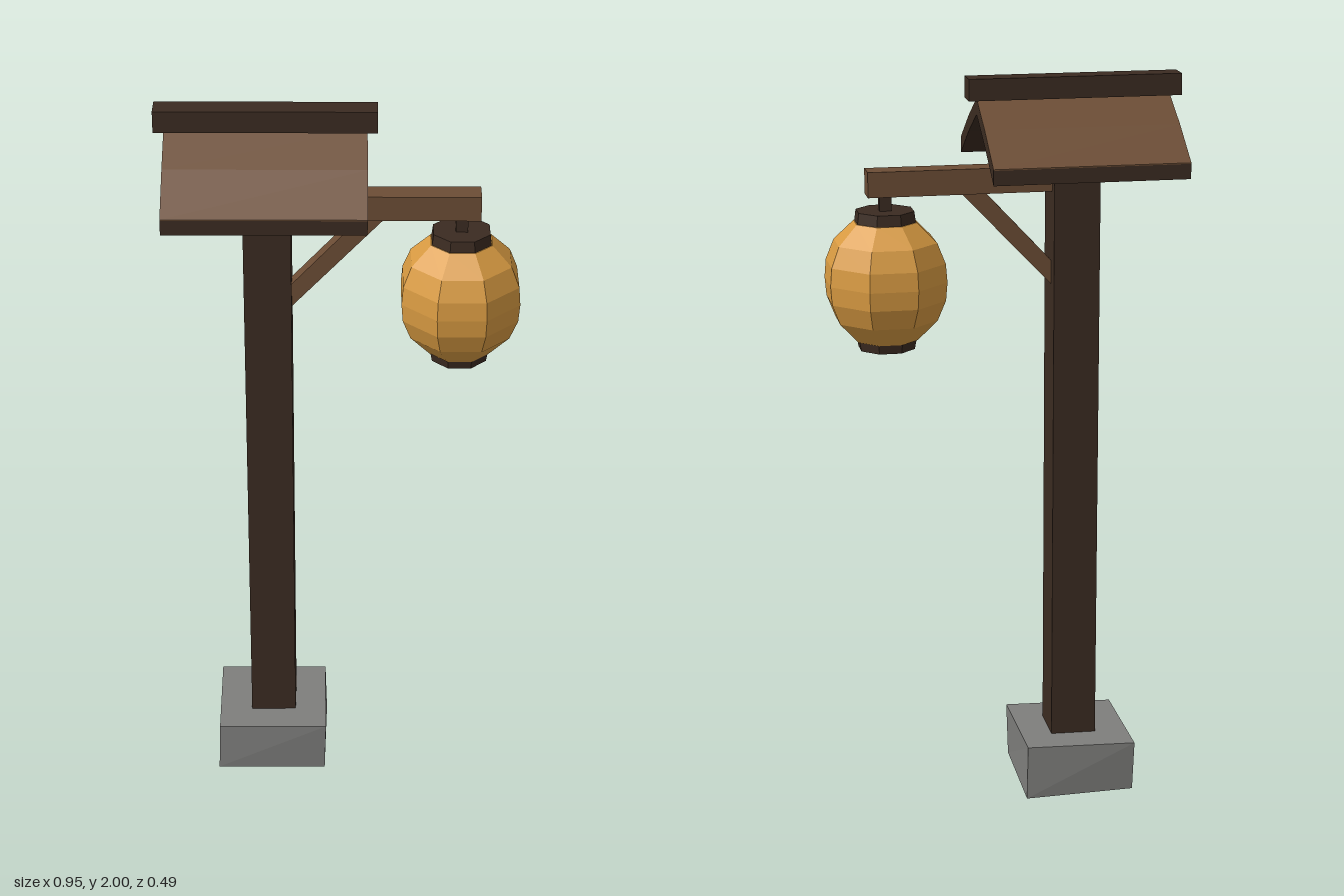
import * as THREE from 'three';

const mat = (name, color) => {
  const m = new THREE.MeshStandardMaterial({ color, flatShading: true });
  m.name = name;
  return m;
};

export function createModel() {
  const group = new THREE.Group();
  const darkWood = mat('dark wood', 0x3b2b21);
  const brownWood = mat('brown wood', 0x6c4d35);
  const paper = mat('amber paper', 0xd99b42);
  const stone = mat('grey stone', 0x7e7e7c);

  const add = (name, geo, material, x = 0, y = 0, z = 0) => {
    const mesh = new THREE.Mesh(geo, material);
    mesh.name = name;
    mesh.position.set(x, y, z);
    group.add(mesh);
    return mesh;
  };
  // Box given by its extents in x and y, centred on z = 0
  const box = (name, material, x0, x1, y0, y1, depth) =>
    add(name, new THREE.BoxGeometry(x1 - x0, y1 - y0, depth), material, (x0 + x1) / 2, (y0 + y1) / 2);
  const extrude = (points, depth) => new THREE.ExtrudeGeometry(
    new THREE.Shape(points.map(p => new THREE.Vector2(...p))), { depth, bevelEnabled: false });

  // Rough stone footing: a box with uneven corner heights
  const footing = new THREE.BoxGeometry(0.3, 0.15, 0.305);
  const pos = footing.attributes.position;
  for (let i = 0; i < pos.count; i++) {
    const sx = Math.sign(pos.getX(i)), sy = Math.sign(pos.getY(i)), sz = Math.sign(pos.getZ(i));
    pos.setXYZ(i,
      sx * 0.151 + sy * sz * 0.002,
      sy > 0 ? 0.152 + 0.003 * sx + 0.004 * sz : 0.008 - 0.002 * sx + 0.005 * sz,
      sz * 0.152 + sx * sy * 0.003);
  }
  add('footing', footing, stone, -0.192);

  // Post, arm and diagonal brace
  box('post', darkWood, -0.252, -0.127, 0.14, 1.895, 0.125);
  box('arm', brownWood, -0.15, 0.367, 1.695, 1.763, 0.066);
  const brace = extrude([[-0.135, 1.432], [0.12, 1.7], [0.055, 1.7], [-0.135, 1.497]], 0.046);
  add('brace', brace, brownWood, 0, 0, -0.023);

  // Bent gable roof: dark body with a thin brown covering
  const ridgeLine = [[-0.245, 1.797], [-0.12, 1.877], [0, 1.942], [0.12, 1.877], [0.245, 1.797]];
  const roofSlab = (top, thickness) => {
    const upper = ridgeLine.map(([z, y]) => [z, y + top]);
    const lower = ridgeLine.map(([z, y]) => [z, y + top - thickness]).reverse();
    return extrude([...lower, ...upper], 0.522).rotateY(Math.PI / 2);
  };
  add('roof', roofSlab(0, 0.04), darkWood, -0.451);
  add('roofCovering', roofSlab(0.003, 0.003), brownWood, -0.451);
  box('ridgeBeam', darkWood, -0.477, 0.097, 1.942, 2.0, 0.066);

  // Eight-sided lantern, radii measured to the flats
  const lx = 0.318, toCorner = 1 / Math.cos(Math.PI / 8);
  const lathe = profile => new THREE.LatheGeometry(
    profile.map(([r, y]) => new THREE.Vector2(r * toCorner, y)), 8, Math.PI / 8);
  add('lanternBody', lathe([[0, 1.305], [0.08, 1.305], [0.131, 1.362], [0.152, 1.417], [0.156, 1.467],
    [0.152, 1.517], [0.131, 1.572], [0.08, 1.625], [0, 1.625]]), paper, lx);
  add('lanternTopCap', lathe([[0, 1.615], [0.079, 1.615], [0.074, 1.655], [0, 1.655]]), darkWood, lx);
  add('lanternBottomCap', lathe([[0, 1.28], [0.072, 1.28], [0.078, 1.313], [0, 1.313]]), darkWood, lx);
  box('lanternHanger', darkWood, lx - 0.016, lx + 0.016, 1.65, 1.7, 0.032);

  return group;
}
